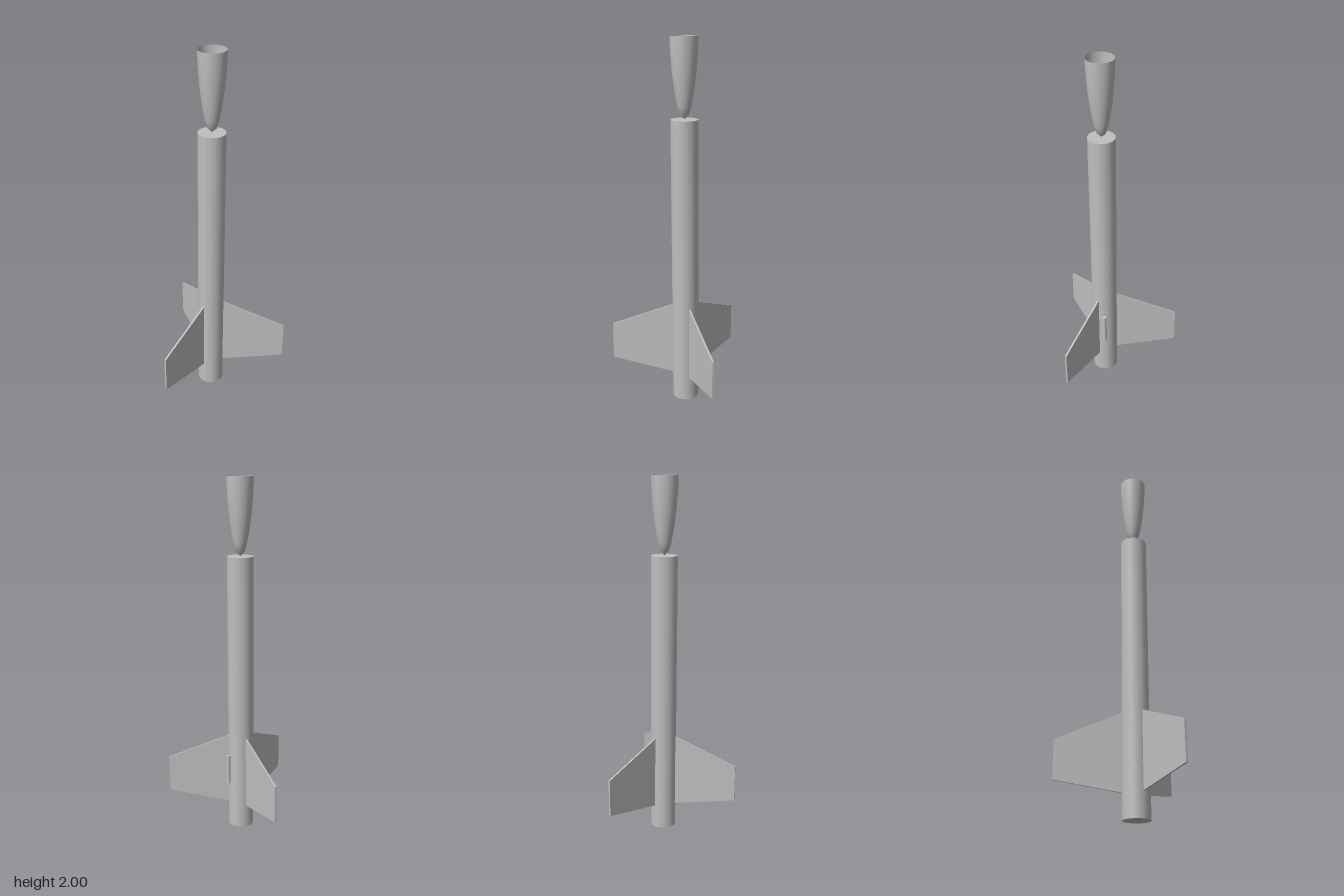
import * as THREE from 'three';

const RADIUS = 0.072;
const FIN_THICKNESS = 0.01;

export function createModel() {
  const group = new THREE.Group();
  group.name = 'modelRocket';
  const grey = new THREE.MeshStandardMaterial({ color: 0xbfbfbf, side: THREE.DoubleSide });
  grey.name = 'plain grey';

  // Everything is arranged around the rocket's axis
  const rocket = new THREE.Group();
  rocket.name = 'rocket';
  rocket.position.z = 0.102;
  group.add(rocket);

  const add = (name, geometry, parent = rocket) => {
    const mesh = new THREE.Mesh(geometry, grey);
    mesh.name = name;
    parent.add(mesh);
    return mesh;
  };

  // Body tube, closed at both ends
  add('bodyTube', new THREE.CylinderGeometry(RADIUS, RADIUS, 1.583, 48)).position.y = 0.7915;

  // Hollow nose cone, tip down and open at the top
  const noseProfile = [
    [0, 1.585], [0.024, 1.607], [0.036, 1.65], [0.046, 1.7], [0.055, 1.76],
    [0.062, 1.82], [0.068, 1.89], [0.0715, 1.96], [RADIUS, 2],
  ].map(([r, y]) => new THREE.Vector2(r, y));
  add('noseCone', new THREE.LatheGeometry(noseProfile, 48));

  // Three tapered fins, 120 degrees apart, one pointing straight back
  const outline = new THREE.Shape([
    [0.068, 0.135], [0.42, 0.198], [0.42, 0.407], [0.068, 0.552],
  ].map(([x, y]) => new THREE.Vector2(x, y)));
  const finGeometry = new THREE.ExtrudeGeometry(outline, { depth: FIN_THICKNESS, bevelEnabled: false });
  finGeometry.translate(0, 0, -FIN_THICKNESS / 2);
  for (let i = 0; i < 3; i++) {
    add('fin' + (i + 1), finGeometry).rotation.y = Math.PI / 2 + i * Math.PI * 2 / 3;
  }

  // Launch lug on the left side
  add('launchLug', new THREE.CylinderGeometry(0.0125, 0.0125, 0.17, 24)).position.set(0.081, 0.355, 0);

  return group;
}
